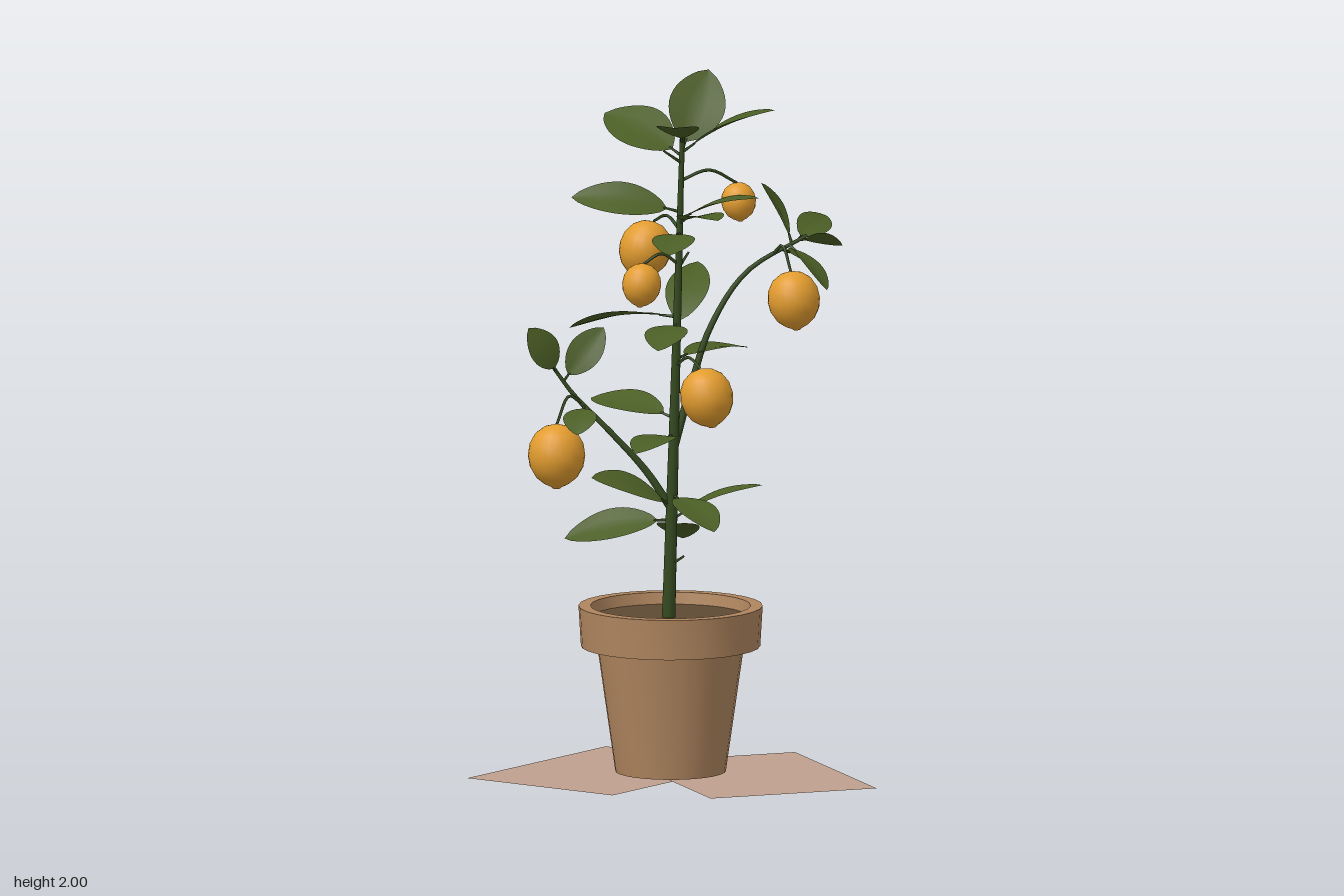
import * as THREE from 'three';
import { toCreasedNormals } from 'three/addons/utils/BufferGeometryUtils.js';

const V = (x, y, z) => new THREE.Vector3(x, y, z);
const curveThrough = (points) => new THREE.CatmullRomCurve3(points);

// Centre of the slightly leaning trunk at a given height
const trunkAt = (y) => V(0.028 * (y - 1), y, 0.03);

function material(name, color, double = false) {
  const m = new THREE.MeshStandardMaterial({ color });
  m.name = name;
  if (double) m.side = THREE.DoubleSide;
  return m;
}

// Round stem along a smooth path, narrowing from r0 to r1
function stemGeometry(curve, r0, r1, steps = 20, sides = 8) {
  const geo = new THREE.TubeGeometry(curve, steps, 1, sides);
  const pos = geo.attributes.position, v = V(0, 0, 0);
  for (let i = 0; i < pos.count; i++) {
    const t = Math.floor(i / (sides + 1)) / steps;
    const c = curve.getPointAt(t);
    v.fromBufferAttribute(pos, i).sub(c).multiplyScalar(r0 + (r1 - r0) * t).add(c);
    pos.setXYZ(i, v.x, v.y, v.z);
  }
  return geo;
}

// Pointed, arched leaf with a folded midrib; `up` is roughly its upper face
function leafGeometry(base, tip, width, up) {
  const axis = tip.clone().sub(base), len = axis.length();
  const side = V(0, 0, 0).crossVectors(axis, up).normalize();
  const normal = V(0, 0, 0).crossVectors(side, axis).normalize();
  const geo = new THREE.PlaneGeometry(1, 1, 6, 14);
  const pos = geo.attributes.position, p = V(0, 0, 0);
  for (let i = 0; i < pos.count; i++) {
    const s = pos.getX(i) * 2, t = pos.getY(i) + 0.5;
    const swell = Math.max(0, Math.sin(Math.PI * Math.pow(t, 0.95)));
    const half = width / 2 * Math.pow(swell, 0.7);
    const along = 0.12 + 0.88 * t;
    const lift = 0.06 * len * Math.sin(Math.PI * along) + 0.12 * half * Math.abs(s);
    p.copy(base).addScaledVector(axis, along)
      .addScaledVector(side, half * s).addScaledVector(normal, lift);
    pos.setXYZ(i, p.x, p.y, p.z);
  }
  geo.computeVertexNormals();
  return geo;
}

export function createModel() {
  const model = new THREE.Group();
  const clay = material('clay', 0xb0865f);
  const soilMat = material('soil', 0x5f4a33);
  const bark = material('green bark', 0x34491f);
  const leafMat = material('leaf green', 0x4b5e25, true);
  const fruitMat = material('fruit orange', 0xe29c2f);
  const paper = material('brown paper', 0xbea08e, true);

  const add = (name, geo, mat, parent = model) => {
    const mesh = new THREE.Mesh(geo, mat);
    mesh.name = name;
    parent.add(mesh);
    return mesh;
  };
  const group = (name) => {
    const g = new THREE.Group();
    g.name = name;
    model.add(g);
    return g;
  };

  // Two overlapping square-cut sheets: centre x, z, width, depth, turn
  [
    [-0.185, -0.035, 0.67, 0.505, 0.978],
    [0.2225, 0.0465, 0.5, 0.662, 0.387],
  ].forEach(([x, z, w, d, turn], i) => {
    const sheet = add('paperSheet' + (i + 1), new THREE.PlaneGeometry(w, d).rotateX(-Math.PI / 2), paper);
    sheet.position.set(x, 0.003 * i, z);
    sheet.rotation.y = turn;
  });

  // Tapered pot with an overhanging rim, hollow down to the soil
  const profile = [[0, 0.012], [0.156, 0.012], [0.21, 0.39], [0.235, 0.39], [0.253, 0.37],
    [0.26, 0.485], [0.226, 0.485], [0.212, 0.41]].map(([r, y]) => new THREE.Vector2(r, y));
  const pot = add('pot', toCreasedNormals(new THREE.LatheGeometry(profile, 28), 0.6), clay);
  pot.position.set(-0.01, 0, 0.03);
  const soil = add('soil', new THREE.CircleGeometry(0.22, 28), soilMat);
  soil.rotation.x = -Math.PI / 2;
  soil.position.set(-0.01, 0.452, 0.03);

  // Trunk and side branches
  const leftCurve = curveThrough([trunkAt(0.76), V(-0.08, 0.87, 0.03), V(-0.18, 0.98, 0.03),
    V(-0.28, 1.08, 0.02), V(-0.34, 1.16, 0.02)]);
  const rightCurve = curveThrough([trunkAt(0.93), V(0.045, 1.1, 0), V(0.1, 1.27, -0.03),
    V(0.2, 1.42, -0.08), V(0.37, 1.52, -0.12)]);
  const trunkCurve = curveThrough([trunkAt(0.42), trunkAt(1.1), trunkAt(1.85)]);
  add('trunk', stemGeometry(trunkCurve, 0.02, 0.007, 32, 10), bark);
  add('leftBranch', stemGeometry(leftCurve, 0.012, 0.005), bark);
  add('rightBranch', stemGeometry(rightCurve, 0.012, 0.005), bark);

  // Fruit with a blunt nipple, each hung from an arched stalk
  const fruitShape = [[0, -1.06], [0.12, -1.04], [0.2, -0.98], [0.42, -0.89], [0.72, -0.68], [0.93, -0.35],
    [1, 0], [0.94, 0.38], [0.74, 0.7], [0.42, 0.91], [0, 1]].map(([r, y]) => new THREE.Vector2(r, y));
  const fruitGeo = new THREE.LatheGeometry(fruitShape, 24);
  const fruits = group('fruits'), fruitStalks = group('fruitStalks');
  const addFruit = (centre, radius, tilt, start) => {
    const height = radius * 1.12;
    const fruit = add('fruit', fruitGeo, fruitMat, fruits);
    fruit.position.copy(centre);
    fruit.scale.set(radius, height, radius);
    fruit.rotation.z = tilt;
    const end = centre.clone().add(V(-Math.sin(tilt) * height, height * 0.97, 0));
    const mid = start.clone().lerp(end, 0.5);
    mid.y = Math.max(start.y, end.y) + 0.025;
    add('fruitStalk', stemGeometry(curveThrough([start, mid, end]), 0.005, 0.004, 10, 6), bark, fruitStalks);
  };
  addFruit(V(-0.085, 1.485, -0.08), 0.074, -0.3, trunkAt(1.56));
  addFruit(V(-0.09, 1.41, 0.085), 0.055, -0.1, trunkAt(1.46));
  addFruit(V(0.18, 1.63, -0.035), 0.049, 0.1, trunkAt(1.7));
  addFruit(V(0.335, 1.345, -0.06), 0.074, 0.1, rightCurve.getPoint(0.87));
  addFruit(V(0.095, 1.095, 0.12), 0.075, 0.2, trunkAt(1.17));
  addFruit(V(-0.33, 0.92, 0.08), 0.081, 0, leftCurve.getPoint(0.7));

  // Leaf blade on a short stalk
  const leaves = group('leaves'), leafStalks = group('leafStalks');
  const addLeaf = (base, tip, width, up) => {
    add('leaf', leafGeometry(base, tip, width, up), leafMat, leaves);
    const axis = tip.clone().sub(base);
    const normal = up.clone().projectOnPlane(axis.clone().normalize()).normalize();
    const end = base.clone().addScaledVector(axis, 0.16).addScaledVector(normal, 0.03 * axis.length());
    add('leafStalk', stemGeometry(new THREE.LineCurve3(base, end), 0.005, 0.003, 2, 6), bark, leafStalks);
  };

  // Crown of four large leaves
  addLeaf(trunkAt(1.78), V(0.095, 2, -0.075), 0.16, V(0, 0.1, 1));
  addLeaf(trunkAt(1.77), V(-0.2, 1.87, -0.1), 0.17, V(0.2, 1, 0.8));
  addLeaf(trunkAt(1.81), V(0.005, 1.885, 0.245), 0.12, V(0, 1, 0));
  addLeaf(trunkAt(1.78), V(0.285, 1.91, 0.08), 0.165, V(0, 1, 0));

  // Leaves spiralling down the trunk: height, tip, forward lean of the upper face
  [
    [1.61, -0.29, 1.65, 0.03, 0.8], [1.59, 0.24, 1.66, 0.09, 0], [1.58, 0.13, 1.62, 0.24, 0],
    [1.55, -0.01, 1.51, 0.18, 0], [1.27, 0.06, 1.43, -0.2, 0.3], [1.31, -0.3, 1.25, -0.13, -0.2],
    [1.29, -0.04, 1.24, 0.2, 0], [1.19, 0.2, 1.19, -0.17, 0], [1.02, -0.24, 1.05, -0.13, 0.4],
    [0.97, -0.1, 0.95, 0.22, 0], [0.77, -0.23, 0.87, 0.16, 0.5], [0.73, 0.25, 0.83, 0.03, 0],
    [0.8, 0.12, 0.73, 0.24, 0], [0.73, -0.31, 0.67, 0, 0.7], [0.72, 0.02, 0.65, -0.13, 0],
  ].forEach(([y, tx, ty, tz, lean]) => addLeaf(trunkAt(y), V(tx, ty, tz), 0.122, V(0, 1, lean)));

  // Small leaves near the branch ends
  const left = (t, tip, up) => addLeaf(leftCurve.getPoint(t), tip, 0.095, up);
  left(0.95, V(-0.41, 1.28, 0.06), V(0.3, 0.5, 1));
  left(0.88, V(-0.2, 1.27, -0.02), V(0, 0.3, 1));
  left(0.68, V(-0.27, 0.99, 0.15), V(0, 1, 0));
  const right = (t, tip, up) => addLeaf(rightCurve.getPoint(t), tip, 0.095, up);
  right(0.94, V(0.24, 1.66, -0.17), V(1, 0.4, -0.4));
  right(0.96, V(0.42, 1.55, -0.28), V(0.5, 1, 0));
  right(0.97, V(0.47, 1.49, -0.13), V(0.3, 1, -0.6));
  right(0.93, V(0.43, 1.38, -0.02), V(0.4, 1, 0));
  right(0.9, V(0.41, 1.37, -0.25), V(0.7, 1, 0));

  // Short bare twigs on the trunk
  const twigs = group('twigs');
  [[0.6, 0.03, 0.63, 0.05], [1.45, 0.04, 1.49, 0], [1.75, -0.03, 1.79, 0.06]].forEach(([y, ...tip]) =>
    add('twig', stemGeometry(new THREE.LineCurve3(trunkAt(y), V(...tip)), 0.005, 0.003, 2, 6), bark, twigs));

  return model;
}
